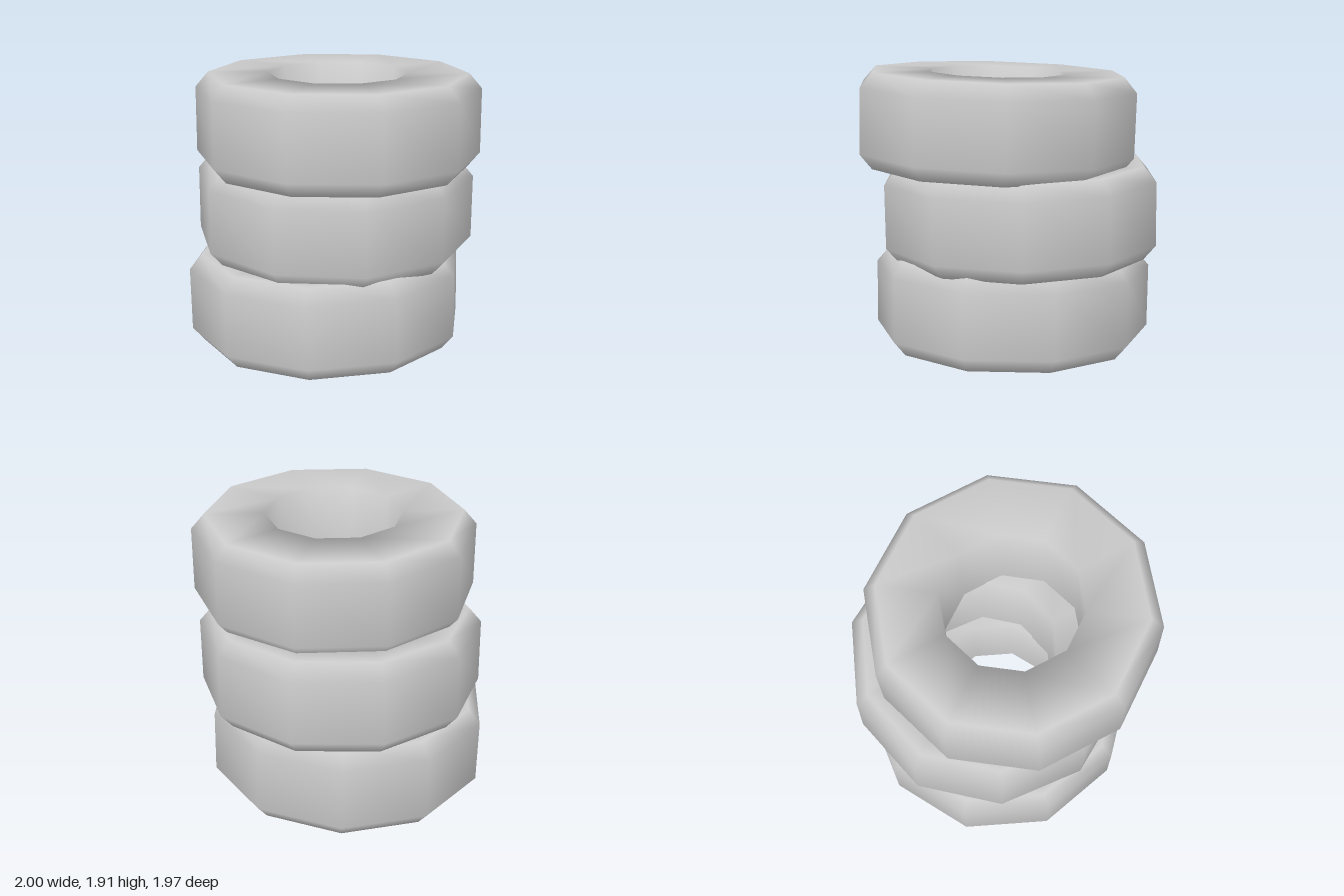
import * as THREE from 'three';

export function createModel() {
  const model = new THREE.Group();
  model.name = 'tyreStack';
  const grey = new THREE.MeshStandardMaterial({ color: 0xcccccc });
  grey.name = 'plain grey';

  // Closed tyre section: underside, chamfered tread, top side, bore
  const profile = [
    [0.46, -0.315], [0.86, -0.315], [0.945, -0.215],
    [0.945, 0.215], [0.86, 0.315], [0.46, 0.315], [0.46, -0.315],
  ].map(([r, y]) => new THREE.Vector2(r, y));

  const deg = THREE.MathUtils.degToRad;

  // Ten-sided tyre, turned about its axle and tilted slightly
  function addTyre(name, position, turn, tiltX, tiltZ) {
    const geometry = new THREE.LatheGeometry(profile, 10, deg(turn), Math.PI * 2);
    const tyre = new THREE.Mesh(geometry, grey);
    tyre.name = name;
    tyre.position.set(...position);
    tyre.rotation.set(deg(tiltX), 0, deg(tiltZ));
    model.add(tyre);
  }

  addTyre('bottomTyre', [-0.065, 0.336, 0.03], 10, 0.3, 1.2);
  addTyre('middleTyre', [-0.07, 0.957, -0.045], 29.5, 0.2, -0.7);
  addTyre('topTyre', [0.08, 1.575, 0.035], 33.6, -1, 1.2);

  return model;
}
